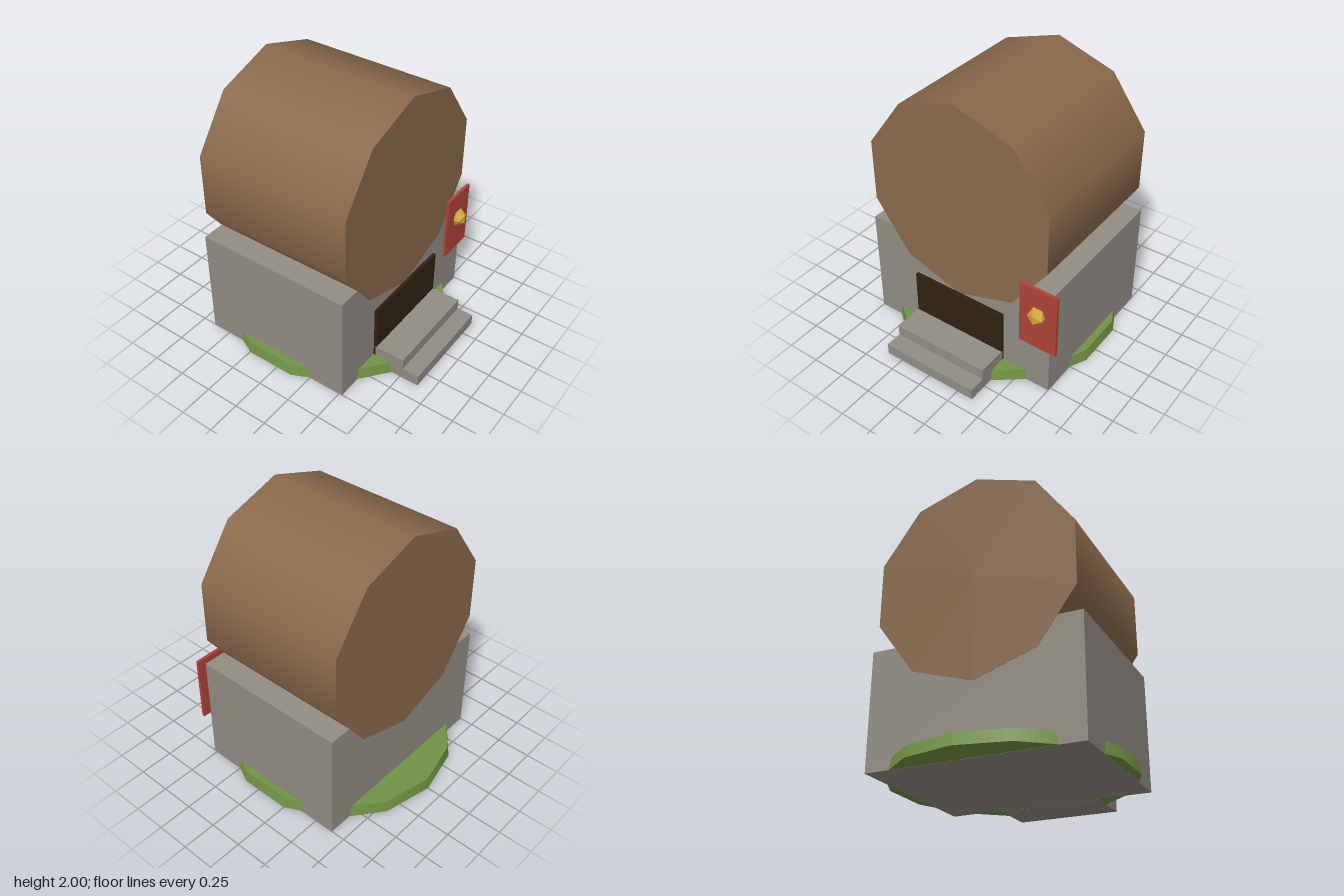
import * as THREE from 'three';

const paint = (name, color, flatShading = false) => {
  const m = new THREE.MeshStandardMaterial({ color });
  m.name = name;
  m.flatShading = flatShading;
  return m;
};

export function createModel() {
  const group = new THREE.Group();
  const stone = paint('stone', 0x918c84);
  const wood = paint('wood', 0x8a694b);
  const grass = paint('grass', 0x719445);
  const dark = paint('dark opening', 0x302110);
  const red = paint('red sign', 0xae4338);
  const gold = paint('gold', 0xd0a238, true);

  const add = (name, geometry, material, x = 0, y = 0, z = 0) => {
    const mesh = new THREE.Mesh(geometry, material);
    mesh.name = name;
    mesh.position.set(x, y, z);
    group.add(mesh);
    return mesh;
  };
  // box given by its limits on each axis
  const box = (name, material, [x0, x1], [y0, y1], [z0, z1]) =>
    add(name, new THREE.BoxGeometry(x1 - x0, y1 - y0, z1 - z0), material,
      (x0 + x1) / 2, (y0 + y1) / 2, (z0 + z1) / 2);

  const back = -0.645, front = 0.525, midZ = (back + front) / 2;

  // grassy mound around the foot, just off the ground so the base covers it
  add('grassMound', new THREE.CylinderGeometry(0.822, 0.835, 0.084, 14), grass, 0, 0.043, midZ);

  // stone base
  box('stoneBase', stone, [-0.75, 0.75], [0, 0.835], [back, front]);

  // big barrel lying front to back, its ends a hair proud of the base
  add('barrel', new THREE.CylinderGeometry(0.75, 0.75, front - back + 0.004, 10), wood, 0, 1.25, midZ)
    .rotation.x = Math.PI / 2;

  // doorway and the two steps before it
  box('doorway', dark, [-0.374, 0.374], [0.002, 0.505], [front, 0.55]);
  box('upperStep', stone, [-0.375, 0.375], [0, 0.17], [0.54, 0.77]);
  box('lowerStep', stone, [-0.375, 0.375], [0, 0.085], [0.76, 0.895]);

  // hanging sign with a gold boss
  box('sign', red, [0.52, 0.81], [0.38, 0.88], [front + 0.003, 0.55]);
  add('signBoss', new THREE.IcosahedronGeometry(0.067, 0), gold, 0.665, 0.67, 0.555);

  return group;
}
